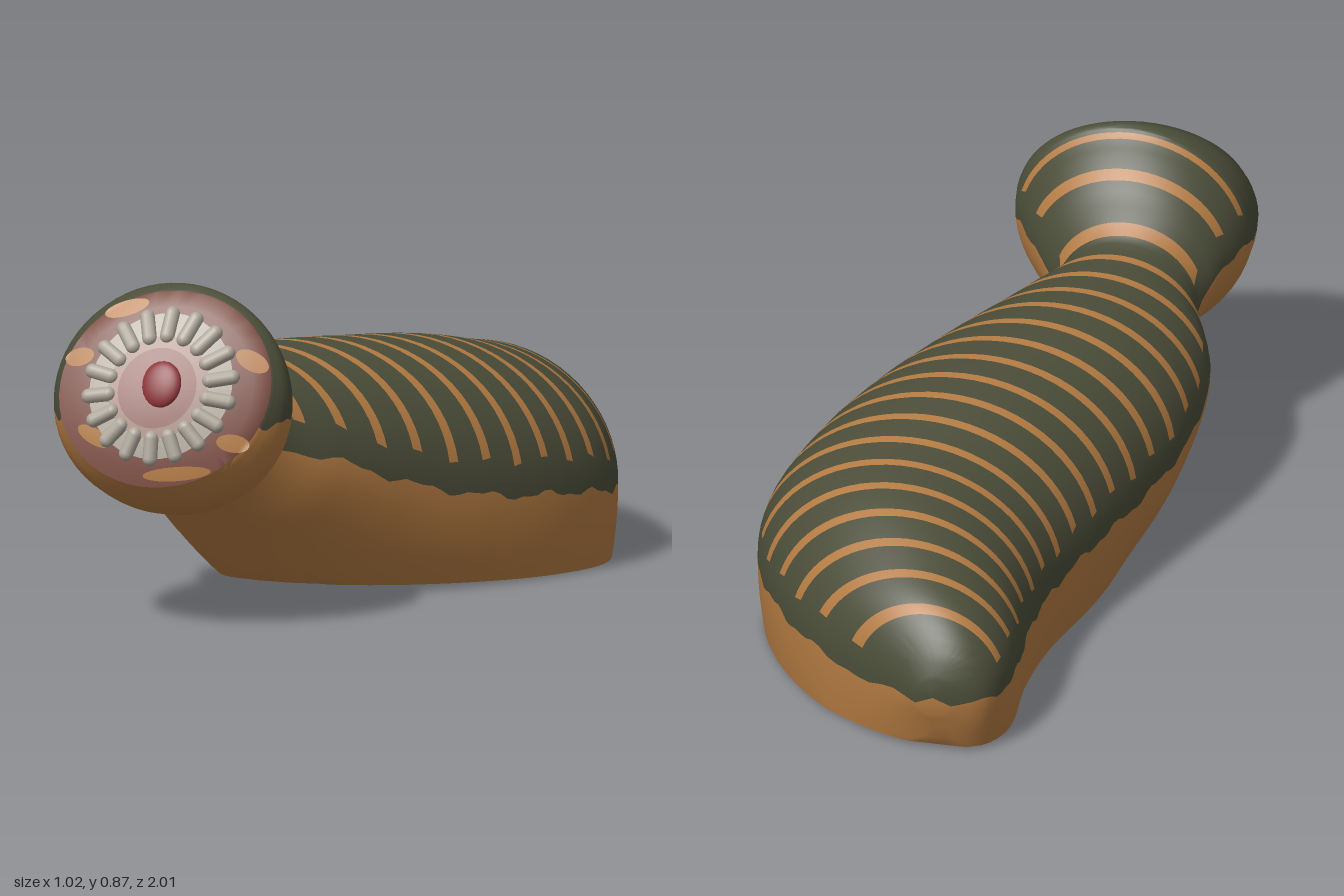
import * as THREE from 'three';
import { toCreasedNormals } from 'three/addons/utils/BufferGeometryUtils.js';

const mat = (name, color) => {
  const m = new THREE.MeshStandardMaterial({ color });
  m.name = name;
  return m;
};

// Cross-sections, tail to mouth: z, x min, x max, top y, lower y, widest y, belly line y
const SECTIONS = [
  [-1, -0.13, -0.03, 0.23, 0.13, 0.18, 0.16],
  [-0.975, -0.2, 0.02, 0.29, 0.06, 0.18, 0.165],
  [-0.9, -0.24, 0.15, 0.375, -0.15, 0.18, 0.17],
  [-0.8, -0.255, 0.28, 0.43, -0.33, 0.18, 0.18],
  [-0.6, -0.245, 0.43, 0.51, -0.44, 0.19, 0.185],
  [-0.4, -0.27, 0.505, 0.555, -0.44, 0.21, 0.195],
  [-0.2, -0.335, 0.465, 0.6, -0.33, 0.23, 0.22],
  [0, -0.405, 0.37, 0.625, -0.18, 0.27, 0.24],
  [0.2, -0.47, 0.235, 0.643, -0.04, 0.32, 0.29],
  [0.4, -0.485, 0.085, 0.645, 0.18, 0.38, 0.38],
  [0.54, -0.42, -0.055, 0.67, 0.33, 0.49, 0.45],
  [0.6, -0.455, 0, 0.755, 0.335, 0.55, 0.55],
  [0.72, -0.503, 0.082, 0.858, 0.3, 0.58, 0.57],
  [0.8, -0.51, 0.1, 0.876, 0.293, 0.585, 0.56],
  [0.9, -0.505, 0.1, 0.877, 0.325, 0.6, 0.55],
  [1, -0.465, 0.075, 0.865, 0.395, 0.63, 0.55],
];

// Smooth cubic interpolation through the section table
function section(z) {
  const S = SECTIONS, n = S.length;
  let i = 0;
  while (i < n - 2 && z > S[i + 1][0]) i++;
  const h = S[i + 1][0] - S[i][0], t = (z - S[i][0]) / h;
  const slope = (k, c) => {
    const a = S[Math.max(k - 1, 0)], b = S[Math.min(k + 1, n - 1)];
    return (b[c] - a[c]) / (b[0] - a[0]);
  };
  return S[i].map((p, c) => {
    const q = S[i + 1][c], t2 = t * t, t3 = t2 * t;
    return p * (2 * t3 - 3 * t2 + 1) + q * (3 * t2 - 2 * t3)
      + h * (slope(i, c) * (t3 - 2 * t2 + t) + slope(i + 1, c) * (t3 - t2));
  });
}

// Tilted plane of the mouth rim, and the shallow dome that fills it
const MX = -0.195, MY = 0.63, HEAD_Z = 0.72;
const mouthZ = (x, y) => 0.88 - 0.42 * (y - MY) - 0.15 * (x - MX);
const domeZ = (x, y) => mouthZ(x, y)
  + 0.05 * Math.max(0, 1 - ((x - MX) / 0.27) ** 2 - ((y - MY) / 0.235) ** 2);

// Columns on one side: sole, belly, flank, back
const SPANS = [4, 10, 3, 14];
const KINDS = SPANS.flatMap((n, k) => Array(n).fill(k));
const COLS = [...KINDS, ...[...KINDS].reverse()];

function ring(t) {
  const [, xl, xr, top, low, yc, line] = section(t);
  const cx = (xl + xr) / 2, hx = (xr - xl) / 2;
  const floor = 0.004 + 0.05 * (t + 0.45) ** 2;
  const angle = (y) => {
    const s = (y - yc) / (y > yc ? top - yc : yc - low);
    return Math.asin(THREE.MathUtils.clamp(s, -1, 1));
  };
  const wave = 0.008 * Math.sin(t * 37) + 0.005 * Math.sin(t * 83);
  const a = [-Math.PI / 2, Math.max(angle(floor), -1.3)];
  a[2] = Math.min(angle(line + wave), 1.2);
  a[3] = THREE.MathUtils.clamp(angle(line + 0.085 + wave), a[2] + 0.05, 1.35);
  a[4] = Math.PI / 2;
  const half = SPANS.flatMap((n, k) =>
    Array.from({ length: n }, (_, j) => a[k] + (a[k + 1] - a[k]) * j / n));
  const all = [...half, Math.PI / 2, ...half.slice(1).reverse().map((v) => Math.PI - v)];
  return all.map((th) => {
    const s = Math.sin(th);
    const x = cx + hx * Math.cos(th);
    const y = Math.max(floor, yc + s * (s > 0 ? top - yc : yc - low));
    // head rings lean gradually into the mouth plane
    const f = Math.max(0, (t - HEAD_Z) / (1 - HEAD_Z));
    return [x, y, f > 0 ? HEAD_Z + f * (mouthZ(x, y) - HEAD_Z) : t];
  });
}

function buildBody(materials) {
  // Rows fall exactly on the edges of the stripes
  const stripes = Array.from({ length: 20 }, (_, k) => 0.04 + 0.0853 * (k - 11));
  const rows = [-1, -0.995, -0.985, -0.97, -0.95, -0.93, 0.76, 0.8, 0.85, 0.9, 0.93, 0.96, 0.98, 1];
  stripes.forEach((c) => rows.push(c - 0.011, c + 0.011, c + 0.032, c + 0.053));
  rows.sort((p, q) => p - q);
  const zs = rows.filter((z, i) => i === 0 || z - rows[i - 1] > 1e-4);
  const rings = zs.map(ring), n = COLS.length, rim = rings.length - 1;
  // Rim ring shrinks inwards over the domed mouth
  [0.85, 0.65, 0.45, 0.2].forEach((s) => rings.push(rings[rim].map(([px, py]) => {
    const x = MX + (px - MX) * s, y = MY + (py - MY) * s;
    return [x, y, domeZ(x, y)];
  })));
  const pos = rings.flat(2);
  const lists = [[], [], []]; // back, belly and stripes, mouth
  for (let i = 0; i < rings.length - 1; i++) {
    const mid = (zs[i] + zs[i + 1]) / 2;
    const striped = stripes.some((c) => Math.abs(c - mid) < 0.011);
    for (let j = 0; j < n; j++) {
      const k = (j + 1) % n, a = i * n + j, b = i * n + k;
      const skin = COLS[j] < 2 || (COLS[j] === 3 && striped) ? 1 : 0;
      lists[i < rim ? skin : 2].push(a, b, b + n, a, b + n, a + n);
    }
  }
  // Closing fans at the tail and the middle of the mouth
  const last = (rings.length - 1) * n, tail = rings.length * n;
  pos.push(-0.08, 0.18, -1.002, MX, MY, domeZ(MX, MY));
  for (let j = 0; j < n; j++) {
    const k = (j + 1) % n;
    lists[COLS[j] < 2 ? 1 : 0].push(tail, k, j);
    lists[2].push(tail + 1, last + j, last + k);
  }
  const geo = new THREE.BufferGeometry();
  geo.setAttribute('position', new THREE.Float32BufferAttribute(pos, 3));
  geo.setIndex(lists.flat());
  let start = 0;
  lists.forEach((l, m) => { geo.addGroup(start, l.length, m); start += l.length; });
  const mesh = new THREE.Mesh(toCreasedNormals(geo, 0.65), materials);
  mesh.name = 'bodyAndHead';
  return mesh;
}

function buildMouth(orange, bone, pale, rose, red) {
  const mouth = new THREE.Group();
  mouth.name = 'mouth';
  const add = (name, geo, m) => {
    const mesh = new THREE.Mesh(geo, m);
    mesh.name = name;
    mouth.add(mesh);
    return mesh;
  };
  // Thin oval draped over the dome
  const patch = (name, m, x, y, rx, ry, turn, lift) => {
    const geo = new THREE.RingGeometry(0.001, 1, 40, 6)
      .scale(rx, ry, 1).rotateZ(turn).translate(x, y, 0);
    const p = geo.attributes.position;
    for (let i = 0; i < p.count; i++) p.setZ(i, domeZ(p.getX(i), p.getY(i)) + lift);
    geo.computeVertexNormals();
    add(name, geo, m);
  };
  // Orange blotches on the rim: x, y, half length, half width, turn
  [[-0.32, 0.82, 0.058, 0.018, 0.3], [-0.42, 0.7, 0.04, 0.021, 0.25],
    [0.022, 0.708, 0.045, 0.021, -0.5], [0.003, 0.51, 0.04, 0.022, -0.2],
    [-0.13, 0.432, 0.085, 0.018, 0.1], [-0.35, 0.515, 0.05, 0.02, -0.4]]
    .forEach((b) => patch('rimBlotch', orange, ...b, 0.004));

  // Gum discs stepping in to the throat
  const cy = 0.642;
  patch('toothBase', bone, MX, cy, 0.182, 0.174, 0, 0.007);
  patch('paleGum', pale, MX, cy, 0.128, 0.122, 0, 0.013);
  patch('innerGum', rose, MX, cy, 0.1, 0.096, 0, 0.017);
  const throat = add('throat', new THREE.SphereGeometry(0.054, 24, 12), red);
  throat.scale.set(1, 1.12, 0.35);
  throat.rotation.x = -0.4;
  throat.position.set(-0.185, 0.652, domeZ(-0.185, 0.652) + 0.014);

  // Ring of rounded teeth lying along the dome
  const up = new THREE.Vector3(0, 1, 0);
  for (let i = 0; i < 18; i++) {
    const a = (i + 0.5) / 18 * Math.PI * 2;
    const [inner, outer] = [0.128, 0.182].map((r) => {
      const x = MX + r * Math.cos(a), y = cy + 0.95 * r * Math.sin(a);
      return new THREE.Vector3(x, y, domeZ(x, y) + 0.009);
    });
    const dir = outer.clone().sub(inner);
    const tooth = add('tooth', new THREE.CapsuleGeometry(0.019, dir.length(), 6, 12), bone);
    tooth.position.copy(inner).add(outer).multiplyScalar(0.5);
    tooth.quaternion.setFromUnitVectors(up, dir.normalize());
  }
  return mouth;
}

export function createModel() {
  const green = mat('backGreen', 0x4b4d39);
  const orange = mat('bellyOrange', 0xb47b42);
  const maroon = mat('rimMaroon', 0x7c4b40);
  const bone = mat('toothBone', 0xb0a89c);
  const pale = mat('paleGum', 0xa88a80);
  const rose = mat('innerGum', 0x94655e);
  const red = mat('throatRed', 0x8c3338);
  const model = new THREE.Group();
  model.name = 'leechCreature';
  model.add(buildBody([green, orange, maroon]), buildMouth(orange, bone, pale, rose, red));
  return model;
}
